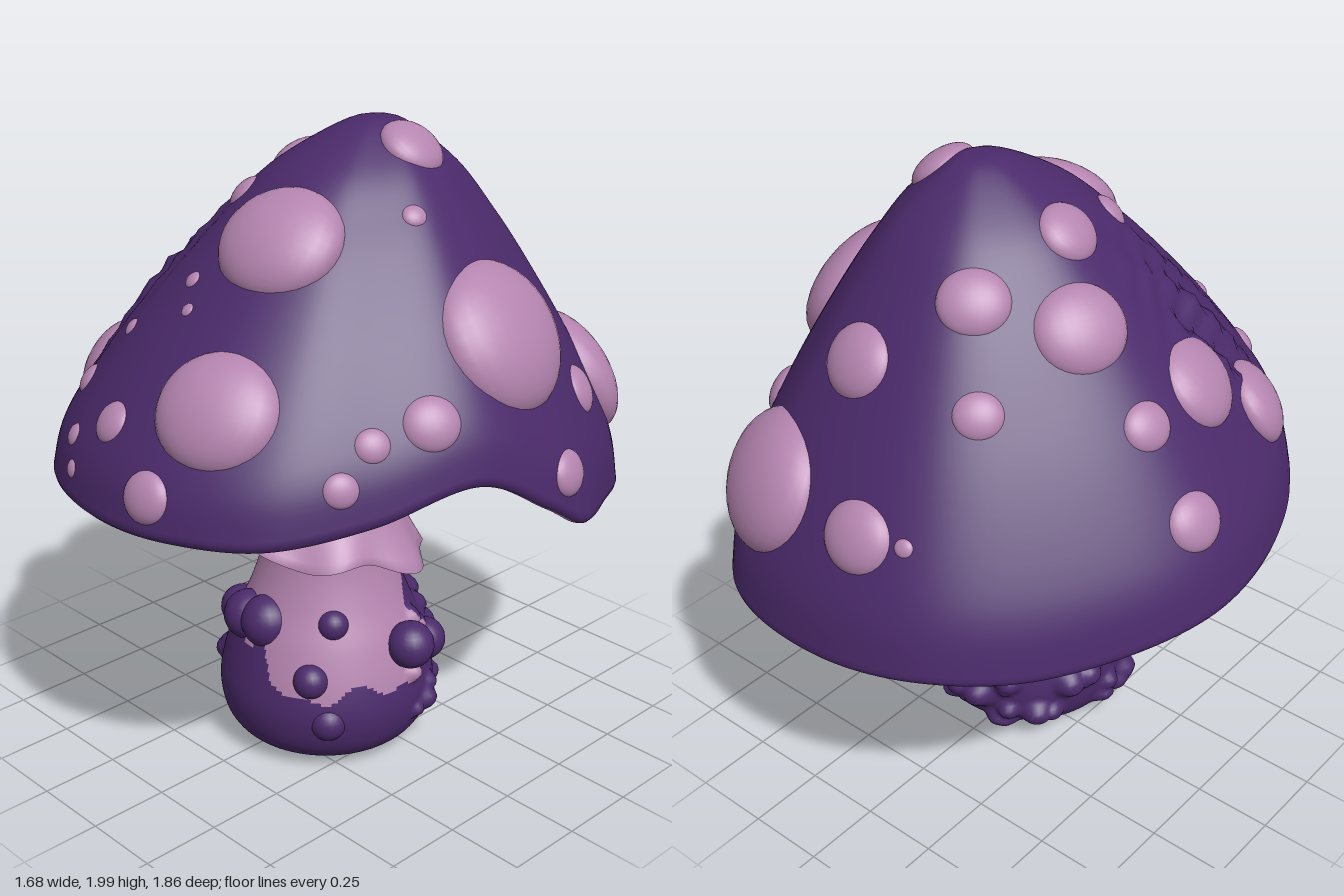
import * as THREE from 'three';

const purple = new THREE.MeshStandardMaterial({ color: 0x4b2a6b });
purple.name = 'purple';
const pink = new THREE.MeshStandardMaterial({ color: 0xb585b0 });
pink.name = 'pink';

const { lerp, smoothstep } = THREE.MathUtils;
const spline = (points, n) => new THREE.SplineCurve(points.map(([x, y]) => new THREE.Vector2(x, y))).getPoints(n);

// Closed ring surface: rows run from the top down, outward facing; each quad is purple or pink
function ringSurface(name, nu, rows, point, isPink) {
  const pos = [], faces = [[], []];
  for (let j = 0; j < rows; j++)
    for (let i = 0; i < nu; i++) pos.push(...point(i / nu, j));
  for (let j = 0; j < rows - 1; j++)
    for (let i = 0; i < nu; i++) {
      const k = (i + 1) % nu;
      const a = j * nu + i, b = j * nu + k, c = a + nu, d = b + nu;
      const side = isPink(i / nu, j, pos[a * 3], pos[a * 3 + 1], pos[a * 3 + 2]) ? 1 : 0;
      faces[side].push(a, c, b, b, c, d);
    }
  const geo = new THREE.BufferGeometry();
  geo.setAttribute('position', new THREE.Float32BufferAttribute(pos, 3));
  geo.setIndex([...faces[0], ...faces[1]]);
  geo.addGroup(0, faces[0].length, 0);
  geo.addGroup(faces[0].length, faces[1].length, 1);
  geo.computeVertexNormals();
  const mesh = new THREE.Mesh(geo, [purple, pink]);
  mesh.name = name;
  return mesh;
}

// Wavy cap rim, counter-clockwise from the front
const rim = new THREE.CatmullRomCurve3([
  [0, .96, .925], [.25, .97, .9], [.5, .98, .76], [.66, 1.02, .5], [.78, 1.09, .2], [.825, .96, -.05],
  [.82, .86, -.22], [.72, .825, -.45], [.6, .78, -.66], [.4, .73, -.86], [0, .74, -.93], [-.35, .77, -.85],
  [-.61, .77, -.61], [-.84, .83, -.15], [-.77, .86, .33], [-.56, .92, .66], [-.3, .95, .85],
].map((p) => new THREE.Vector3(...p)), true);
const apex = new THREE.Vector3(.1, 1.985, -.07);
const stemTop = new THREE.Vector3(.05, 1.08, .08);

// Cap dome profile: fraction outward, fraction of height
const dome = spline([[0, 1], [.1, .987], [.3, .88], [.45, .75], [.58, .62],
  [.75, .43], [.9, .235], [.97, .115], [1, 0]], 48);
const CAP_SIDES = 240, LIP_ROWS = 6, GILL_ROWS = 18, GILLS = 40;

function capPoint(u, j) {
  const r = rim.getPoint(u);
  r.y += .035;
  if (j < dome.length) {
    const { x: f, y: h } = dome[j];
    const x = lerp(apex.x, r.x, f), y = lerp(r.y, apex.y, h), z = lerp(apex.z, r.z, f);
    // lumpy patch on the front flank
    const w = .011 * Math.exp(-((x + .42) ** 2 + (z - .3) ** 2) / .03);
    const n = w * (Math.sin(x * 43 + z * 19) + Math.sin(z * 47 - x * 13) * Math.sin(y * 38));
    return [x - n, y + n, z + n];
  }
  let f, y;
  const k = j - dome.length + 1;
  if (k <= LIP_ROWS) {
    // rolled lip follows a half ellipse
    const t = Math.PI * k / LIP_ROWS;
    f = .9675 + .0325 * Math.cos(t);
    y = r.y - .036 * Math.sin(t) + .02 * k / LIP_ROWS;
  } else {
    // gills sweep up from the lip to the stem
    const g = (k - LIP_ROWS) / GILL_ROWS;
    f = lerp(.935, .2, g);
    y = lerp(r.y + .02, stemTop.y, Math.pow(g, .65))
      + Math.sin(Math.PI * g) * (.05 + .016 * Math.cos(u * Math.PI * 2 * GILLS));
  }
  return [lerp(stemTop.x, r.x, f), y, lerp(stemTop.z, r.z, f)];
}

// Stem profile: radius, height, from the top down
const stemRows = spline([[.31, 1.07], [.22, .93], [.195, .78], [.21, .64], [.245, .52], [.295, .4],
  [.332, .28], [.345, .18], [.32, .08], [.25, .02], [.1, .002], [0, 0]], 110);

function smoothStemPoint(u, j) {
  const { x: r0, y } = stemRows[j], a = u * Math.PI * 2;
  const r = r0 * (1 + smoothstep(y, .8, 1) * .06 * Math.cos(18 * a));
  return [lerp(.04, .055, y) + Math.sin(a) * r, Math.max(y, 0), lerp(.09, .085, y) + Math.cos(a) * r];
}

// Seeded scatter of soft lumps over the back and side of the stem: position and radius
let seed = 7;
const rand = () => (seed = (seed * 16807) % 2147483647) / 2147483647;
const lumps = Array.from({ length: 60 }, () => {
  const u = lerp(.28, .86, rand()), y = lerp(.06, .44, rand());
  const row = stemRows.findIndex((q) => q.y < y);
  return { at: new THREE.Vector3(...smoothStemPoint(u, row)), r: lerp(.035, .075, rand()) };
});

function stemPoint(u, j) {
  const p = new THREE.Vector3(...smoothStemPoint(u, j));
  let bump = 0;
  for (const { at, r } of lumps)
    bump = Math.max(bump, .62 * r * smoothstep(1 - p.distanceTo(at) / r, 0, .8));
  const a = u * Math.PI * 2;
  return [p.x + Math.sin(a) * bump, p.y, p.z + Math.cos(a) * bump];
}

function stemIsPink(u, j, x, y, z) {
  const a = u * Math.PI * 2;
  if (y > .72) return y < .92 || (y < 1.03 && Math.cos(18 * a) > -.75);
  if (y > .67) return false;
  const edge = lerp(.41, .28, smoothstep(x, .04, .13)) + .02 * Math.sin(a * 7) + .012 * Math.sin(a * 13);
  return y > edge && z > lerp(-.1, -.03, smoothstep(y, .35, .5)) + .02 * Math.sin(y * 30);
}

// Wavy skirt: outer face down to the hem, then back up the inside
const SKIRT_ROWS = 16;
function skirtPoint(u, j) {
  const a = u * Math.PI * 2, t = j / (SKIRT_ROWS - 1) * 2;
  const inner = t > 1, drop = inner ? 2 - t : t, w = drop * drop;
  const r = .195 + .115 * Math.pow(drop, 1.4) - (inner ? .015 : 0)
    + w * (.02 * Math.cos(7 * a) + .012 * Math.sin(4 * a));
  const y = .87 - .23 * drop + w * (.055 * Math.cos(a) + .022 * Math.cos(5 * a + .5));
  return [.05 + Math.sin(a) * r, y, .08 + Math.cos(a) * r];
}

// Raised cap spots: x, y, z, radius
const spots = [
  [.25, 1.95, -.08, .1], [.16, 1.72, .38, .18], [.26, 1.34, .71, .175], [.67, 1.48, -.08, .235],
  [.36, 1.13, -.77, .22], [.13, 1.52, -.58, .115], [.63, 1.18, -.43, .08], [.81, 1.06, -.15, .07],
  [-.08, 1.15, -.82, .11], [-.26, 1.47, -.5, .07], [-.13, 1.7, -.36, .1], [-.2, 1.83, -.04, .095],
  [-.38, 1.66, -.18, .135], [-.59, 1.4, -.15, .075], [-.76, 1.15, -.12, .09], [-.55, 1.42, .16, .15],
  [-.58, 1.22, .44, .14], [-.13, 1.77, .23, .06], [.38, 1.77, .08, .035], [.68, 1.28, .3, .08],
  [.6, 1.24, .46, .05], [.6, 1.14, .57, .05], [.17, 1.1, .88, .075], [-.06, 1.22, .81, .065],
  [-.38, 1.25, .68, .05], [-.24, 1.4, .61, .03], [-.24, 1.14, .81, .035], [-.05, 1.58, .53, .028],
  [0, 1.52, .59, .022], [-.2, 1.06, .88, .028], [-.24, 1.15, -.8, .028],
];

// Large stem warts: x, y, z, radius
const warts = [
  [.37, .39, .04, .075], [.03, .45, .33, .085], [-.06, .44, .33, .08], [-.16, .41, .27, .07],
  [.23, .48, .24, .05], [.23, .32, .335, .055], [.27, .18, .3, .06], [.26, .3, -.14, .07],
];

function addBall(group, name, geometry, material, position) {
  const mesh = new THREE.Mesh(geometry, material);
  mesh.name = name;
  mesh.position.copy(position);
  group.add(mesh);
  return mesh;
}

export function createModel() {
  const model = new THREE.Group();
  const cap = ringSurface('cap', CAP_SIDES, dome.length + LIP_ROWS + GILL_ROWS, capPoint,
    (u, j) => j > dome.length && j < dome.length + LIP_ROWS - 1);
  model.add(cap);
  model.add(ringSurface('stem', 200, stemRows.length, stemPoint, stemIsPink));
  model.add(ringSurface('skirt', 96, SKIRT_ROWS, skirtPoint, () => true));

  // Each spot sits on the nearest cap point, facing along its normal
  const spotBall = new THREE.SphereGeometry(1, 28, 18);
  const capPos = cap.geometry.attributes.position, capNormal = cap.geometry.attributes.normal;
  const spotGroup = new THREE.Group();
  spotGroup.name = 'capSpots';
  const p = new THREE.Vector3(), n = new THREE.Vector3(), target = new THREE.Vector3();
  for (const [x, y, z, r] of spots) {
    target.set(x, y, z);
    let best = 0, bestD = Infinity;
    for (let i = CAP_SIDES; i < dome.length * CAP_SIDES; i++) {
      const d = p.fromBufferAttribute(capPos, i).distanceToSquared(target);
      if (d < bestD) { bestD = d; best = i; }
    }
    n.fromBufferAttribute(capNormal, best);
    p.fromBufferAttribute(capPos, best).addScaledVector(n, -.2 * r);
    const spot = addBall(spotGroup, 'spot', spotBall, pink, p);
    spot.lookAt(n.add(p));
    spot.scale.set(r * 1.06, r, r * .55);
  }
  model.add(spotGroup);

  const wartBall = new THREE.SphereGeometry(1, 20, 14);
  const wartGroup = new THREE.Group();
  wartGroup.name = 'stemWarts';
  for (const [x, y, z, r] of warts)
    addBall(wartGroup, 'wart', wartBall, purple, p.set(x, y, z)).scale.setScalar(r);
  model.add(wartGroup);
  return model;
}
